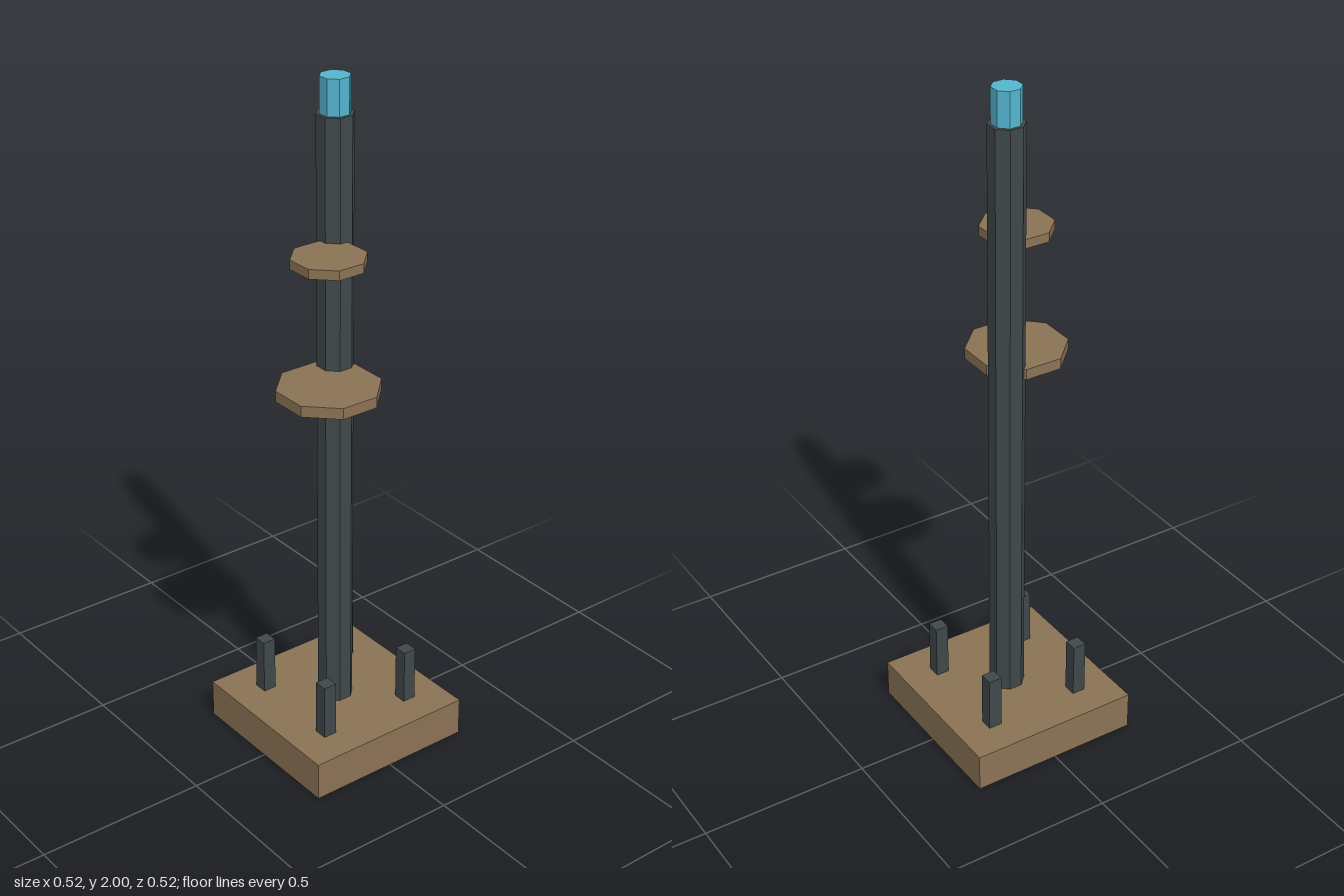
import * as THREE from 'three';

export function createModel() {
  const material = (name, color) => {
    const m = new THREE.MeshStandardMaterial({ color, flatShading: true });
    m.name = name;
    return m;
  };
  const wood = material('wood', 0x8b7355);
  const iron = material('darkIron', 0x40484a);
  const glow = material('blueGlass', 0x55b5cf);

  const model = new THREE.Group();
  model.name = 'mast';

  const add = (name, geometry, mat, x, y0, y1, z) => {
    const mesh = new THREE.Mesh(geometry, mat);
    mesh.name = name;
    mesh.position.set(x, (y0 + y1) / 2, z);
    model.add(mesh);
  };
  const box = (name, mat, width, x, y0, y1, z) =>
    add(name, new THREE.BoxGeometry(width, y1 - y0, width), mat, x, y0, y1, z);

  // Eight-sided prism with flat sides facing the axes; size is centre to flat
  const octagon = (name, mat, size, x, y0, y1, z) => {
    const r = size / Math.cos(Math.PI / 8);
    const geometry = new THREE.CylinderGeometry(r, r, y1 - y0, 8, 1, false, Math.PI / 8);
    add(name, geometry, mat, x, y0, y1, z);
  };

  // Base slab with a short post near each corner
  box('base', wood, 0.52, 0, 0, 0.115, 0);
  for (const sx of [-1, 1])
    for (const sz of [-1, 1])
      box('cornerPost', iron, 0.04, sx * 0.146, 0.115, 0.282, sz * 0.146);

  // Pole and its tip
  octagon('pole', iron, 0.048, 0, 0.115, 1.9, 0);
  octagon('tip', glow, 0.039, 0, 1.9, 2, 0);

  // Platforms set off the pole toward the front left
  octagon('lowerPlatform', wood, 0.135, 0.093, 1.155, 1.187, 0.093);
  octagon('upperPlatform', wood, 0.096, 0.092, 1.53, 1.557, 0.092);

  return model;
}
